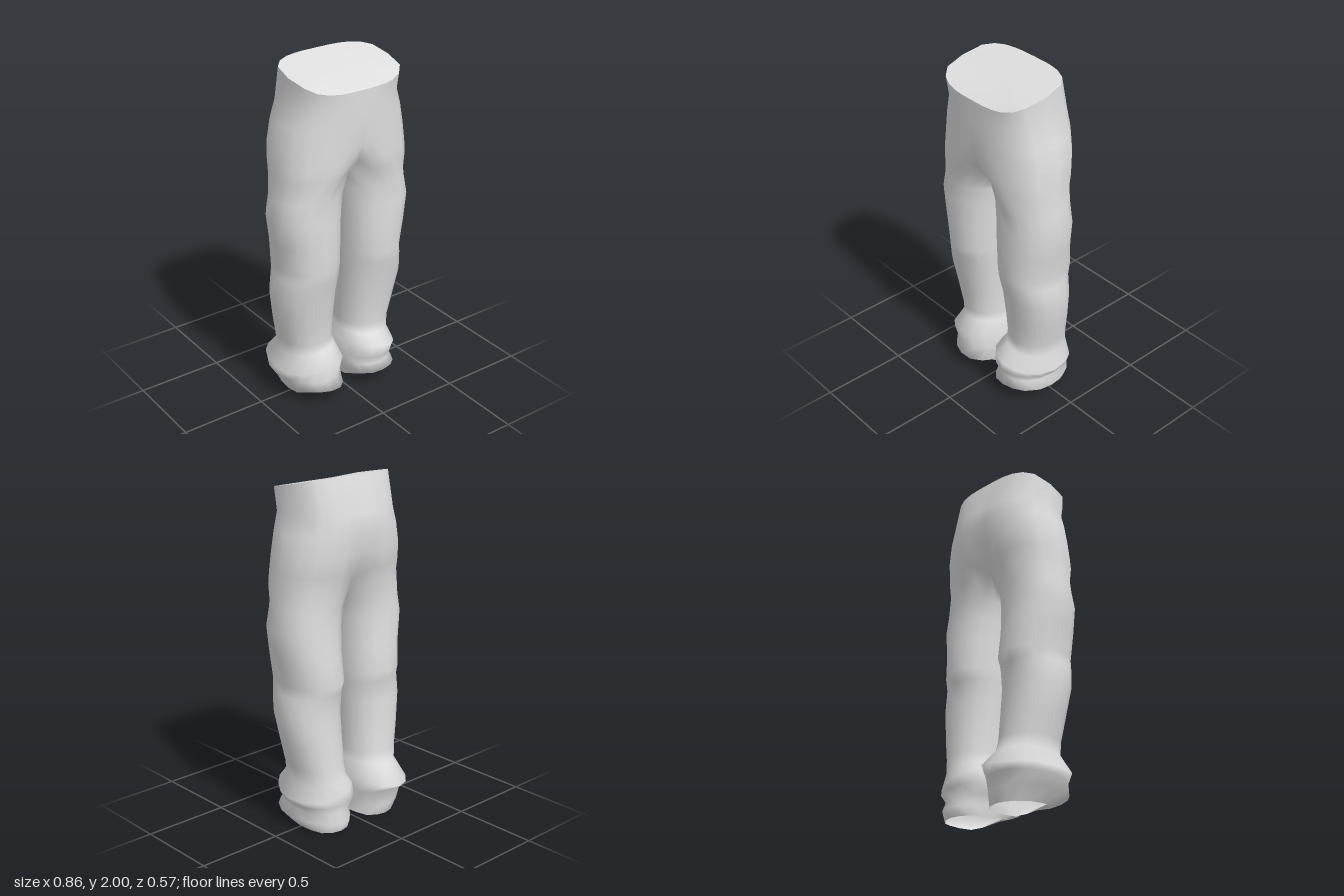
import * as THREE from 'three';
import { mergeVertices } from 'three/addons/utils/BufferGeometryUtils.js';

const HALF = 12; // steps round half of the hips, front to back
const RING = 16; // points round one leg
const pow = (v, p) => Math.sign(v) * Math.pow(Math.abs(v), p);

// Half ring of the hips, from front centre round the side to back centre.
// Points crowd towards the centre line, where the clefts pull inwards.
function hipRing(y, halfWidth, front, back, square, cleftFront = 0, cleftBack = 0) {
  const mid = (front + back) / 2, depth = (front - back) / 2;
  return Array.from({ length: HALF + 1 }, (_, i) => {
    const t = i / HALF;
    const a = Math.PI * t - 0.3 * Math.sin(2 * Math.PI * t);
    const x = i === 0 || i === HALF ? 0 : halfWidth * pow(Math.sin(a), square);
    const cleft = i < HALF / 2 ? -cleftFront : cleftBack;
    const z = mid + depth * pow(Math.cos(a), square) + cleft * Math.exp(-((x / 0.08) ** 2));
    return [x, y, z];
  });
}

// Waist edge: dips at the front centre and climbs towards the back.
function waistRing() {
  return hipRing(0, 0.325, 0.283, -0.135, 0.62).map(([x, , z]) => {
    const y = z > 0.2 ? 1.93 - (z - 0.2) * 0.53 : Math.min(2, 1.93 + (0.2 - z) * 0.21);
    return [x, y, z];
  });
}

// Closed ring of one leg, starting at its inner front corner.
// Tilt lifts the front, lean lifts the outer side, fold makes three soft lobes.
function legRing([y, inner, outer, front, back, tilt = 0, lean = 0, fold = 0, phase = 0]) {
  const cx = (inner + outer) / 2, rx = (outer - inner) / 2;
  const cz = (front + back) / 2, rz = (front - back) / 2;
  return Array.from({ length: RING }, (_, i) => {
    const a = -Math.PI / 4 + (2 * Math.PI * i) / RING;
    const s = pow(Math.sin(a), 0.92), c = pow(Math.cos(a), 0.92);
    const k = 1 + fold * Math.cos(3 * a + phase);
    return [cx + rx * s * k, Math.max(0, y + tilt * c ** 3 + lean * s), cz + rz * c * k];
  });
}

// Hips down to the crotch
const hips = [
  waistRing(),
  hipRing(1.8, 0.333, 0.283, -0.195, 0.75),
  hipRing(1.7, 0.368, 0.283, -0.203, 0.78, 0, 0.005),
  hipRing(1.58, 0.393, 0.28, -0.2, 0.78, 0.005, 0.02),
  hipRing(1.48, 0.402, 0.28, -0.182, 0.76, 0.03, 0.04),
  hipRing(1.41, 0.405, 0.275, -0.16, 0.74, 0.11, 0.07),
];

// Leg rows: height, inner x, outer x, front z, back z, tilt, lean, fold, phase
const thighToShin = [
  [1.28, 0.01, 0.413, 0.243, -0.138],
  [1.17, 0.024, 0.432, 0.25, -0.142],
  [1.02, 0.03, 0.41, 0.252, -0.15],
  [0.86, 0.034, 0.386, 0.25, -0.175],
  [0.8, 0.036, 0.395, 0.24, -0.152],
  [0.68, 0.043, 0.412, 0.215, -0.145],
  [0.5, 0.047, 0.382, 0.187, -0.158],
  [0.37, 0.048, 0.355, 0.172, -0.168],
];
const cuffs = {
  left: [
    [0.3, 0.045, 0.345, 0.18, -0.18, 0.01, -0.015],
    [0.23, 0.015, 0.375, 0.255, -0.21, 0.02, -0.04, 0.04, 1],
    [0.17, 0.0, 0.365, 0.24, -0.215, 0.01, -0.01, 0.04, 0.5],
    [0.12, 0.024, 0.34, 0.225, -0.19, 0.01],
    [0.07, 0.026, 0.36, 0.26, -0.215, 0.02, 0, 0.03, 2],
    [0.012, 0.04, 0.325, 0.18, -0.2, 0.06],
  ],
  right: [
    [0.31, 0.04, 0.345, 0.18, -0.18, 0.01, -0.015],
    [0.215, 0.008, 0.388, 0.255, -0.28, 0.03, -0.02, 0.03, 2.5],
    [0.15, 0.008, 0.385, 0.225, -0.23, -0.01, 0, 0.03, 1],
    [0.08, 0.02, 0.35, 0.262, -0.23, 0.01, 0.015, 0.03, 2],
    [0.012, 0.022, 0.305, 0.18, -0.205, 0.07],
  ],
};

// The crotch ring closes the last hip ring with a seam under the body.
function crotchRing() {
  const half = hips[hips.length - 1];
  const f = half[0][2], b = half[HALF][2];
  const seam = [1, 2, 3].map((j) => {
    const t = j / 4;
    return [0, 1.41 - 0.075 * Math.sin(Math.PI * t), b + (f - b) * t];
  });
  return [...half, ...seam];
}

const tri = (out, a, b, c, side) => {
  const pts = side > 0 ? [a, b, c] : [a, c, b];
  for (const [x, y, z] of pts) out.push(side * x, y, z);
};

function strip(out, upper, lower, side, closed) {
  const n = closed ? upper.length : upper.length - 1;
  for (let i = 0; i < n; i++) {
    const j = (i + 1) % upper.length;
    tri(out, upper[i], lower[i], lower[j], side);
    tri(out, upper[i], lower[j], upper[j], side);
  }
}

function toGeometry(positions) {
  const raw = new THREE.BufferGeometry();
  raw.setAttribute('position', new THREE.Float32BufferAttribute(positions, 3));
  const geometry = mergeVertices(raw, 1e-4);
  geometry.computeVertexNormals();
  return geometry;
}

// Cover over a ring, as a fan round its middle
function lid(ring, centre) {
  const out = [];
  ring.forEach((p, i) => tri(out, centre, p, ring[(i + 1) % ring.length], 1));
  return toGeometry(out);
}

export function createModel() {
  const group = new THREE.Group();
  group.name = 'trousers';
  const cloth = new THREE.MeshStandardMaterial({ color: 0xdedede, side: THREE.DoubleSide });
  cloth.name = 'grey cloth';
  const add = (name, geometry) => {
    const mesh = new THREE.Mesh(geometry, cloth);
    mesh.name = name;
    group.add(mesh);
  };

  // Hips and both legs as one smooth skin, open at the hems
  const skin = [];
  for (const [name, side] of [['left', 1], ['right', -1]]) {
    for (let i = 0; i < hips.length - 1; i++) strip(skin, hips[i], hips[i + 1], side, false);
    const rings = [crotchRing(), ...[...thighToShin, ...cuffs[name]].map(legRing)];
    for (let i = 0; i < rings.length - 1; i++) strip(skin, rings[i], rings[i + 1], side, true);
  }
  add('legsAndHips', toGeometry(skin));

  // Waist cover
  const half = hips[0];
  const mirrored = half.slice(1, HALF).reverse().map(([x, y, z]) => [-x, y, z]);
  add('waistCover', lid([...half, ...mirrored], [0, 1.957, 0.07]));
  return group;
}
